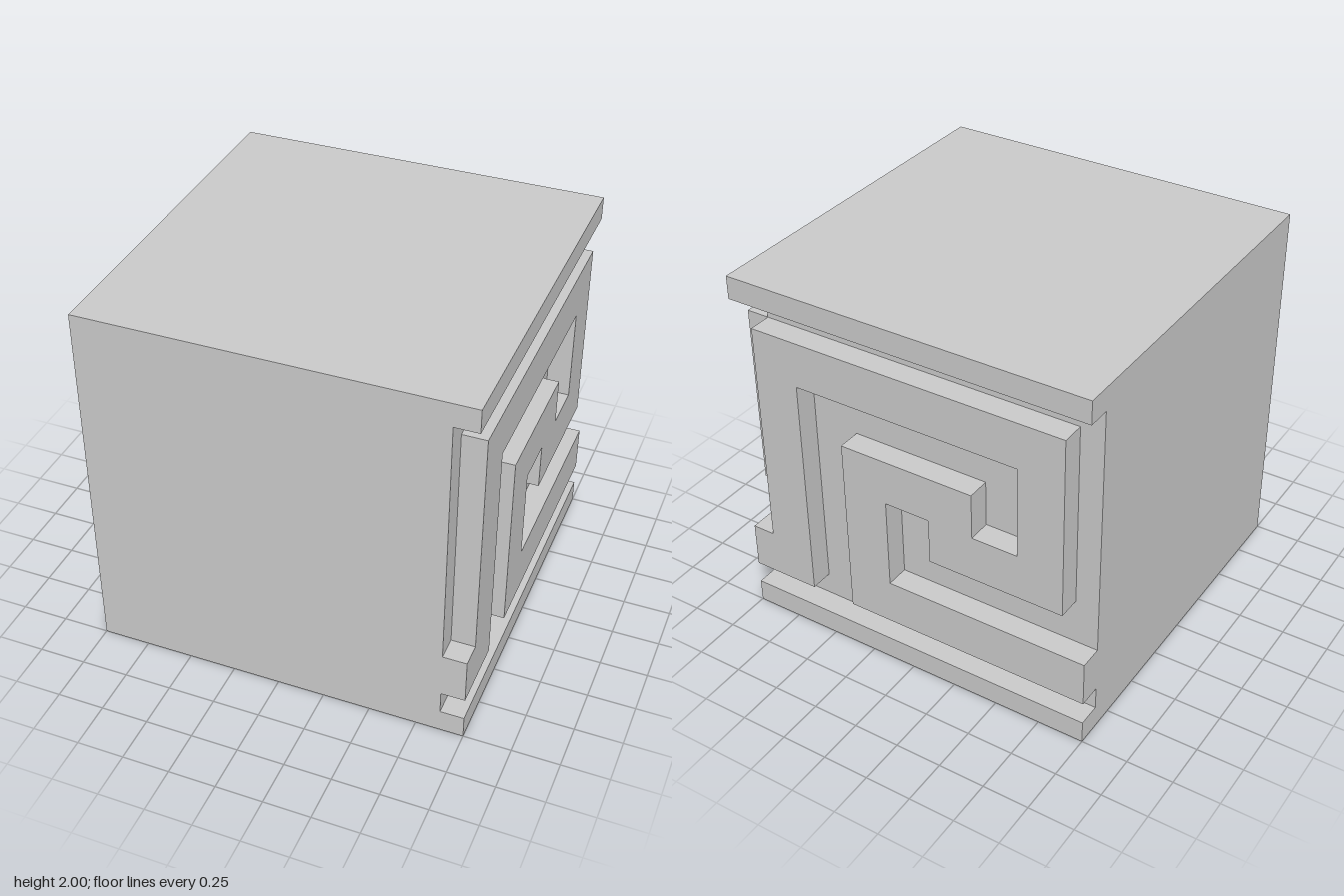
import * as THREE from 'three';

const D = 0.125; // relief depth

export function createModel() {
  const group = new THREE.Group();
  const material = new THREE.MeshStandardMaterial({ color: 0xcccccc, flatShading: true });

  function add(name, geometry) {
    const mesh = new THREE.Mesh(geometry, material);
    mesh.name = name;
    group.add(mesh);
    return mesh;
  }

  // Core block, set back on the two carved sides
  add('core', new THREE.BoxGeometry(2 - D, 2 - 2 * D, 2 - D)).position.set(-D / 2, 1, D / 2);

  // Full-size plates at the bottom and top
  add('bottomPlate', new THREE.BoxGeometry(2, D, 2)).position.y = D / 2;
  add('topPlate', new THREE.BoxGeometry(2, D, 2)).position.y = 2 - D / 2;

  // Meander key band, drawn as seen facing its wall
  const outline = [
    [-0.875, 0.25], [-0.625, 0.25], [-0.625, 1.5], [0.625, 1.5], [0.625, 1],
    [0.375, 1], [0.375, 1.25], [-0.375, 1.25], [-0.375, 0.25], [1, 0.25],
    [1, 0.5], [-0.125, 0.5], [-0.125, 1], [0.125, 1], [0.125, 0.75],
    [0.875, 0.75], [0.875, 1.75], [-0.875, 1.75],
  ];
  // Tail that carries the band out to the front edge of the right wall
  const tail = [[-0.875, 0.5], [-1, 0.5], [-1, 0.25]];

  function addKey(name, points, angle) {
    const shape = new THREE.Shape(points.map(([x, y]) => new THREE.Vector2(x, y)));
    const geometry = new THREE.ExtrudeGeometry(shape, { depth: D, bevelEnabled: false });
    geometry.translate(0, 0, 1 - D);
    add(name, geometry).rotation.y = angle;
  }
  addKey('sideKeyRelief', [...outline, ...tail], Math.PI / 2);
  // The back band starts where the side band wraps the shared corner
  addKey('backKeyRelief', outline, Math.PI);

  return group;
}
